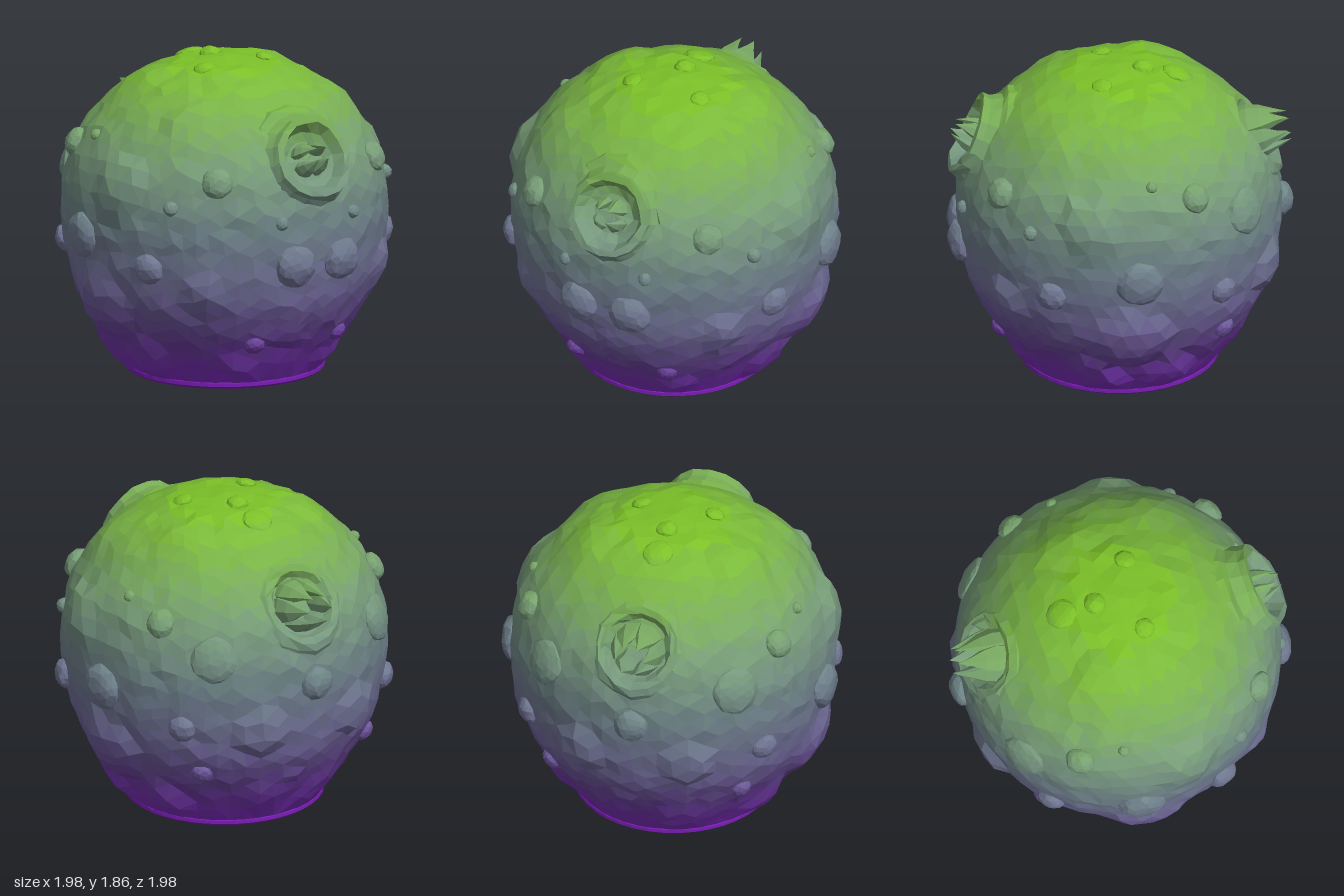
import * as THREE from 'three';

const V = (x, y, z) => new THREE.Vector3(x, y, z);
const CENTRE = V(0, 0.92, 0);

// Body outline from base to crown: [radius, height]
const PROFILE = [
  [0, 0.04], [0.57, 0.04], [0.67, 0.2], [0.785, 0.38], [0.865, 0.55], [0.915, 0.75], [0.935, 0.95],
  [0.925, 1.12], [0.875, 1.32], [0.785, 1.47], [0.65, 1.615], [0.48, 1.73], [0.28, 1.81], [0, 1.835],
];

// Colour runs from purple at the foot to green at the crown
const STOPS = [
  [0, 0x8024c4], [0.3, 0x693a9b], [0.65, 0x706c98], [1.0, 0x6d8088], [1.35, 0x779c78],
  [1.65, 0x78b048], [1.87, 0x7cc41c],
];
const BANDS = 24;
const materials = new Map();
function materialAt(y) {
  const band = Math.max(0, Math.min(BANDS - 1, Math.floor((y / 1.87) * BANDS)));
  if (!materials.has(band)) {
    const h = ((band + 0.5) / BANDS) * 1.87;
    const i = STOPS.findIndex((s) => s[0] >= h);
    const [a, b] = [STOPS[i - 1], STOPS[i]];
    const color = new THREE.Color(a[1]).lerp(new THREE.Color(b[1]), (h - a[0]) / (b[0] - a[0]));
    materials.set(band, new THREE.MeshStandardMaterial({ color, flatShading: true, side: THREE.DoubleSide }));
  }
  return materials.get(band);
}

// Repeatable noise in -1..1 from a position
function noise(p, seed = 0) {
  const n = Math.sin(Math.round(p.x * 500) * 12.99 + Math.round(p.y * 500) * 78.23
    + Math.round(p.z * 500) * 37.72 + seed) * 43758.5453;
  return (n - Math.floor(n)) * 2 - 1;
}
const jitter = (p, seed, size) => V(noise(p, seed), noise(p, seed + 2), noise(p, seed + 5)).multiplyScalar(size);

// Point where a direction from the centre meets the outline
function surface(dir) {
  const s = Math.hypot(dir.x, dir.z), t = dir.y;
  for (let i = 0; i < PROFILE.length - 1; i++) {
    const [ax, ay] = PROFILE[i], [bx, by] = PROFILE[i + 1];
    const fa = ax * t - (ay - CENTRE.y) * s, fb = bx * t - (by - CENTRE.y) * s;
    if (fa >= 0 && fb <= 0 && fa !== fb) {
      const k = fa / (fa - fb);
      const r = Math.hypot(ax + (bx - ax) * k, ay + (by - ay) * k - CENTRE.y);
      return dir.clone().multiplyScalar(r).add(CENTRE);
    }
  }
  return dir.clone().multiplyScalar(0.9).add(CENTRE);
}
const direction = (x, y, z) => V(x, y, z).sub(CENTRE).normalize();

// Move each vertex of a geometry by a rule
function reshape(geometry, rule) {
  const pos = geometry.attributes.position, p = V(0, 0, 0);
  for (let i = 0; i < pos.count; i++) {
    p.fromBufferAttribute(pos, i);
    const q = rule(p);
    pos.setXYZ(i, q.x, q.y, q.z);
  }
  return geometry;
}

// Add a mesh whose triangles are sorted into colour bands by height
function addBanded(parent, name, geometry) {
  const flat = geometry.index ? geometry.toNonIndexed() : geometry;
  const a = flat.attributes.position.array, buckets = new Map();
  for (let i = 0; i < a.length; i += 9) {
    const material = materialAt((a[i + 1] + a[i + 4] + a[i + 7]) / 3);
    if (!buckets.has(material)) buckets.set(material, []);
    buckets.get(material).push(...a.slice(i, i + 9));
  }
  const group = new THREE.Group();
  group.name = name;
  for (const [material, points] of buckets) {
    const g = new THREE.BufferGeometry();
    g.setAttribute('position', new THREE.Float32BufferAttribute(points, 3));
    g.computeVertexNormals();
    const mesh = new THREE.Mesh(g, material);
    mesh.name = name + 'Band';
    group.add(mesh);
  }
  parent.add(group);
}

const mirrored = (list) => list.flatMap((w) => (w[0] > 0 ? [w, [-w[0], ...w.slice(1)]] : [w]));

// Separate warts and low swellings of the skin: [x, y, z, radius, height]
const WARTS = mirrored([
  [0.165, 0.8, 0.92, 0.125, 0.075], [0.55, 1.3, 0.68, 0.09, 0.06], [0.25, 1.06, 0.89, 0.04, 0.04],
  [0.29, 0.31, 0.68, 0.06, 0.045], [0.92, 0.9, -0.11, 0.135, 0.065], [0.82, 0.78, 0.39, 0.09, 0.06],
  [0.77, 1.15, 0.52, 0.045, 0.04], [0.55, 1.18, -0.7, 0.135, 0.05], [0.74, 1.36, -0.43, 0.085, 0.06],
  [0.78, 1.45, -0.18, 0.035, 0.035], [0.7, 0.75, -0.59, 0.08, 0.055], [0.55, 0.45, -0.58, 0.065, 0.05],
  [0.22, 1.82, 0.1, 0.06, 0.03], [0, 1.82, -0.35, 0.09, 0.03], [0, 1.83, -0.14, 0.065, 0.045],
  [0, 0.99, -0.93, 0.1, 0.065],
]);
const SWELLINGS = mirrored([
  [0.64, 0.65, 0.66, 0.13, 0.04], [0.88, 1.24, 0.17, 0.18, 0.05], [0.83, 0.48, -0.06, 0.23, 0.06],
  [0.33, 0.72, -0.85, 0.14, 0.05], [0.5, 1.55, 0.35, 0.17, 0.025], [0.45, 1.73, -0.2, 0.18, 0.03],
  [0.28, 0.14, 0.56, 0.12, 0.025], [0.6, 0.18, -0.27, 0.15, 0.045], [0.64, 0.2, 0.13, 0.15, 0.05],
  [0.2, 0.2, -0.65, 0.12, 0.02],
]).map(([x, y, z, radius, height]) => ({ at: surface(direction(x, y, z)), radius, height }));

function addWart(parent, [x, y, z, radius, height], index) {
  const dir = direction(x, y, z), at = surface(dir);
  const g = reshape(new THREE.IcosahedronGeometry(1, radius > 0.07 ? 2 : 1), (p) =>
    p.clone().multiplyScalar(1 + 0.06 * noise(p, index)).multiply(V(radius, height, radius)));
  g.applyQuaternion(new THREE.Quaternion().setFromUnitVectors(V(0, 1, 0), dir));
  addBanded(parent, 'wart', g.translate(at.x, at.y, at.z));
}

// A round mouth-like opening facing its own +y, its sides bent back by sag
function addOpening(parent, name, profile, sag, matrix, seed) {
  const g = new THREE.LatheGeometry(profile.map(([r, h]) => new THREE.Vector2(r, h)), 16);
  reshape(g, (p) => p.clone().add(jitter(p, seed, 0.008)).add(V(0, -sag * p.x * p.x, 0)));
  addBanded(parent, name, g.applyMatrix4(matrix));
}

// A leaf-shaped petal standing in an opening, its tip moved by lean
function addPetal(parent, name, angle, ring, radius, length, lean, floor, matrix) {
  const g = new THREE.ConeGeometry(radius, length, 6, 4);
  reshape(g, (p) => {
    const t = p.y / length + 0.5, swell = 1 + 0.9 * Math.sin(Math.PI * t);
    return V(p.x * swell, p.y + length / 2 + floor, p.z * 0.6 * swell + ring + lean * t * t);
  });
  addBanded(parent, name, g.rotateY(angle).applyMatrix4(matrix));
}

function facing(at, pitch, back) {
  const tilt = (Math.PI / 2 - pitch) * (back ? -1 : 1);
  return new THREE.Matrix4().makeRotationX(tilt).setPosition(at);
}

export function createModel() {
  const model = new THREE.Group();
  model.name = 'wartyBlob';
  const frontMatrix = facing(V(0, 1.41, 0.86), 0.45, false);
  const backMatrix = facing(V(0, 1.43, -0.79), 0.6, true);
  const tuftMatrix = facing(V(0, 1.41, -0.78), 0.22, true);
  const hollows = [frontMatrix, backMatrix].map((m) =>
    V(0, 0, 0).setFromMatrixPosition(m).sub(CENTRE).normalize());

  // Faceted body with swellings, pressed in behind the openings and snapped to the foot's rim
  const body = reshape(new THREE.IcosahedronGeometry(1, 11), (p) => {
    const dir = p.clone().add(jitter(p, 3, 0.018)).normalize();
    const q = surface(dir), r = Math.hypot(q.x, q.z);
    if (q.y < 0.12 && Math.abs(r - 0.57) < 0.045) return V(q.x * 0.565 / r, 0.04, q.z * 0.565 / r);
    if (q.y < 0.05) return q;
    let out = 0.004 + 0.008 * noise(dir);
    for (const s of SWELLINGS) {
      const d = q.distanceTo(s.at) / s.radius;
      if (d < 1) out += s.height * Math.sqrt(1 - d * d);
    }
    if (hollows.some((axis) => dir.angleTo(axis) < 0.2)) out = -0.11;
    return q.addScaledVector(dir, out);
  });
  addBanded(model, 'body', body);

  // Flat foot with a softened edge
  const footProfile = [[0, 0.01], [0.555, 0.01], [0.575, 0.025], [0.575, 0.045], [0.56, 0.06]];
  const foot = new THREE.Mesh(
    new THREE.LatheGeometry(footProfile.map(([r, h]) => new THREE.Vector2(r, h)), 40),
    new THREE.MeshStandardMaterial({ color: 0x7a1cb4, flatShading: true, side: THREE.DoubleSide }));
  foot.name = 'foot';
  model.add(foot);

  // Warts on both sides
  WARTS.forEach((w, i) => addWart(model, w, i));

  // Front opening: stepped collar, raised rim and a hollow with blunt teeth
  addOpening(model, 'frontOpening', [
    [0.37, -0.17], [0.33, -0.09], [0.29, -0.08], [0.255, -0.02], [0.245, 0.025], [0.205, 0.025],
    [0.17, -0.05], [0.12, -0.08], [0, -0.09],
  ], 0.4, frontMatrix, 1);
  for (let i = 0; i < 4; i++) {
    addPetal(model, 'tooth', Math.PI / 4 + i * Math.PI / 2, 0.08, 0.045, 0.19, -0.035, -0.09, frontMatrix);
  }

  // Back opening: low rim around a tuft of broad petals
  addOpening(model, 'backOpening', [
    [0.33, -0.11], [0.28, -0.02], [0.24, 0.01], [0.2, 0.0], [0.17, -0.05], [0, -0.06],
  ], 0.2, backMatrix, 9);
  for (let i = 0; i < 6; i++) {
    addPetal(model, 'petal', (i + 0.5) * Math.PI / 3, 0.115, 0.07, 0.3, -0.035, -0.1, tuftMatrix);
  }
  return model;
}
